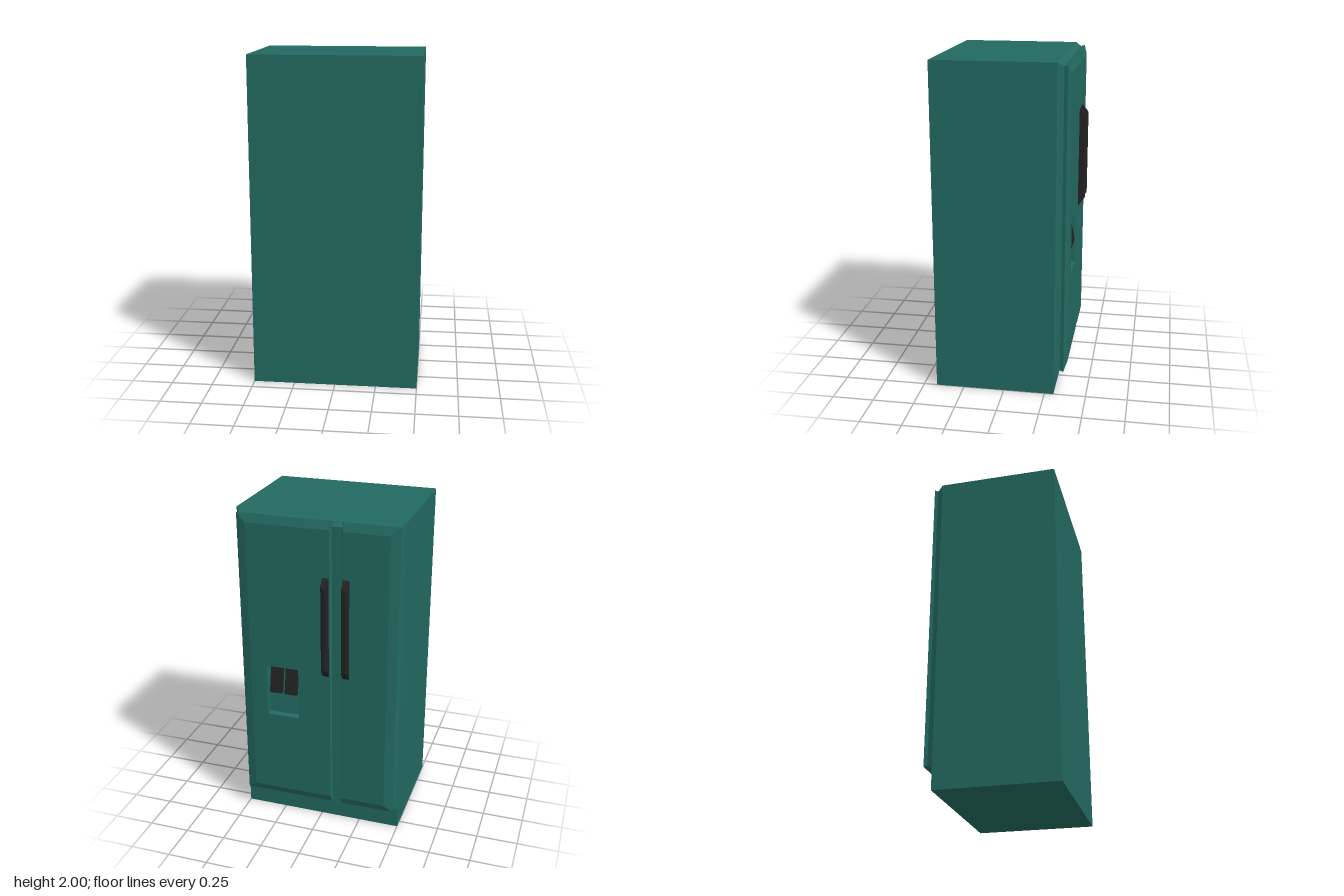
import * as THREE from 'three';

// Skin a stack of rectangles [x0, x1, y0, y1, z] that runs towards -z.
// z may be a pair [zBottom, zTop] for a slanted rectangle.
function loft(rings, startCap = true, endCap = true) {
  const corners = rings.map(([x0, x1, y0, y1, z]) => {
    const [zb, zt] = Array.isArray(z) ? z : [z, z];
    return [[x0, y0, zb], [x1, y0, zb], [x1, y1, zt], [x0, y1, zt]];
  });
  const pos = [];
  const quad = (a, b, c, d) => pos.push(...a, ...b, ...c, ...a, ...c, ...d);
  for (let i = 0; i < corners.length - 1; i++) {
    const p = corners[i], q = corners[i + 1];
    for (let k = 0; k < 4; k++) {
      const n = (k + 1) % 4;
      quad(p[k], q[k], q[n], p[n]);
    }
  }
  const first = corners[0], last = corners[corners.length - 1];
  if (startCap) quad(first[0], first[1], first[2], first[3]);
  if (endCap) quad(last[0], last[3], last[2], last[1]);
  const geo = new THREE.BufferGeometry();
  geo.setAttribute('position', new THREE.Float32BufferAttribute(pos, 3));
  geo.computeVertexNormals();
  return geo;
}

export function createModel() {
  const group = new THREE.Group();
  group.name = 'refrigerator';
  const teal = new THREE.MeshStandardMaterial({ color: 0x22695f, flatShading: true });
  const black = new THREE.MeshStandardMaterial({ color: 0x222222, flatShading: true });
  const add = (name, geo, mat) => {
    const mesh = new THREE.Mesh(geo, mat);
    mesh.name = name;
    group.add(mesh);
    return mesh;
  };

  // Cabinet; the doors are on the -z side
  add('cabinet', new THREE.BoxGeometry(1, 2, 0.725).translate(0, 1, 0.0575), teal);

  // Stepped rim between cabinet and doors
  add('doorRim', loft([
    [-0.5, 0.5, 0.125, 2, -0.305],
    [-0.488, 0.488, 0.135, 1.992, -0.315],
    [-0.475, 0.475, 0.15, 1.978, -0.34],
  ], false, false), teal);

  // Narrow door
  add('narrowDoor', loft([
    [-0.475, -0.14, 0.15, 1.978, -0.34],
    [-0.481, -0.148, 0.143, 1.985, -0.36],
    [-0.425, -0.158, 0.19, 1.935, -0.379],
  ], false), teal);

  // Wide door, its skin continuing into the dispenser recess
  add('wideDoor', loft([
    [-0.093, 0.475, 0.15, 1.978, -0.34],
    [-0.091, 0.481, 0.143, 1.985, -0.36],
    [-0.08, 0.425, 0.19, 1.935, -0.379],
    [0.12, 0.322, 0.72, 1.05, -0.379],
    [0.12, 0.322, 0.725, 1.05, [-0.345, -0.32]],
  ], false), teal);

  // Strip filling the gap between the doors
  add('centreStrip', loft([
    [-0.153, -0.083, 0.155, 1.975, -0.335],
    [-0.153, -0.083, 0.175, 1.955, -0.365],
  ]), teal);

  // Chamfered handles either side of the gap
  for (const x of [-0.177, -0.054]) {
    add('handle', loft([
      [x - 0.019, x + 0.019, 1.03, 1.66, -0.375],
      [x - 0.019, x + 0.019, 1.08, 1.615, -0.412],
      [x - 0.01, x + 0.01, 1.09, 1.605, -0.42],
    ]), black);
  }

  // Tilted dispenser paddles
  for (const x of [0.173, 0.268]) {
    const paddle = add('dispenserPaddle', new THREE.BoxGeometry(0.075, 0.17, 0.03), black);
    paddle.position.set(x, 0.955, -0.349);
    paddle.rotation.x = 0.2;
  }
  return group;
}
